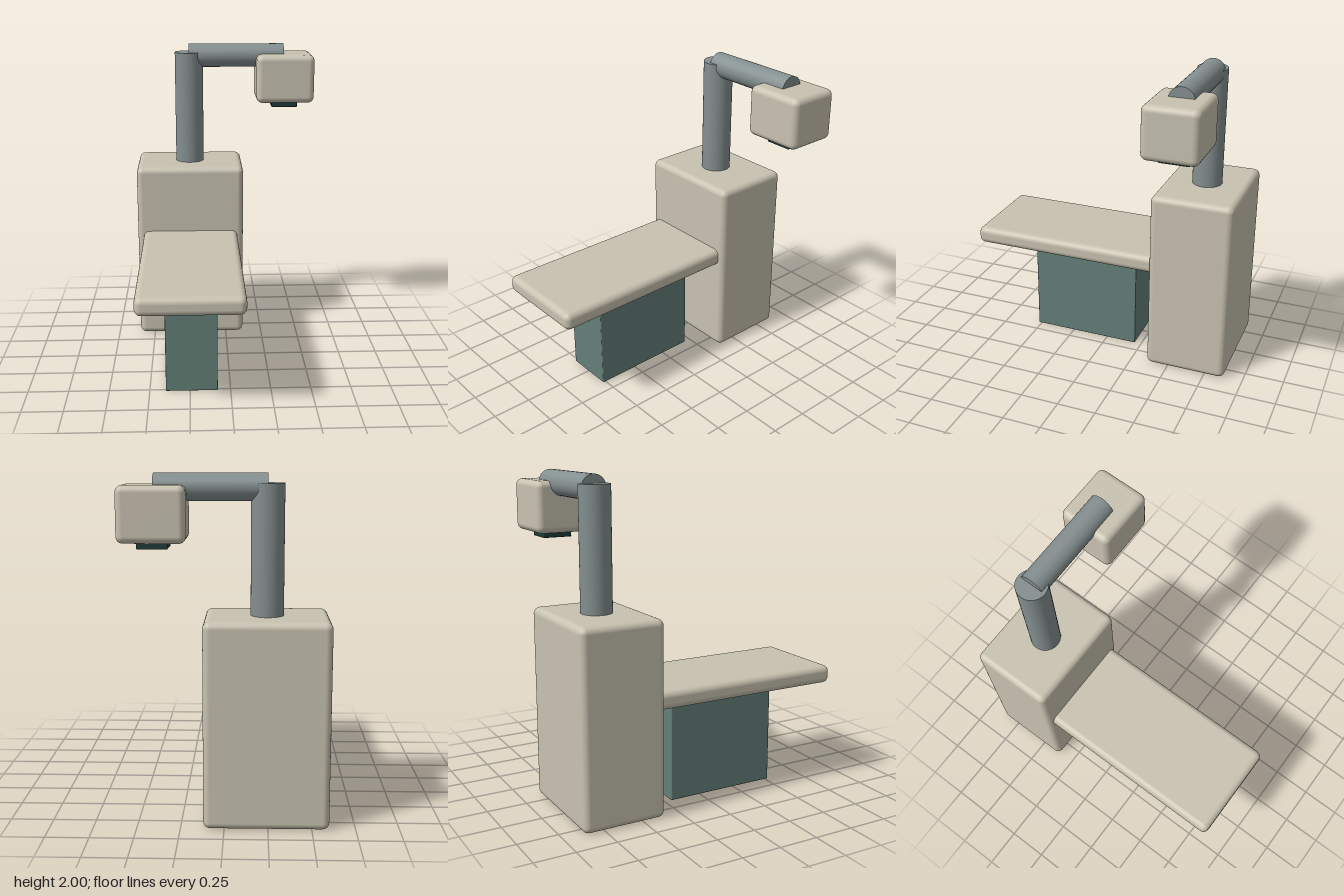
import * as THREE from 'three';
import { RoundedBoxGeometry } from 'three/addons/geometries/RoundedBoxGeometry.js';

const material = (color) => new THREE.MeshStandardMaterial({ color });

export function createModel() {
  const model = new THREE.Group();
  model.name = 'scanner';

  const shell = material(0xc8c2b0);
  const teal = material(0x647f78);
  const metal = material(0x848f8f);
  const dark = material(0x203a3a);

  // Rounded box given by its [min, max] extents on each axis
  function box(name, [x0, x1], [y0, y1], [z0, z1], radius, mat) {
    const geometry = new RoundedBoxGeometry(x1 - x0, y1 - y0, z1 - z0, 4, radius);
    const mesh = new THREE.Mesh(geometry, mat);
    mesh.name = name;
    mesh.position.set((x0 + x1) / 2, (y0 + y1) / 2, (z0 + z1) / 2);
    model.add(mesh);
  }

  function tube(name, radius, length, x, y, z) {
    const mesh = new THREE.Mesh(new THREE.CylinderGeometry(radius, radius, length, 40), metal);
    mesh.name = name;
    mesh.position.set(x, y, z);
    model.add(mesh);
    return mesh;
  }

  // Upright cabinet, with the table reaching forward from it on a pedestal
  box('cabinet', [-0.6, 0.12], [0, 1.2], [-0.88, -0.355], 0.04, shell);
  box('table', [-0.56, 0.08], [0.643, 0.757], [-0.44, 0.88], 0.04, shell);
  box('pedestal', [-0.4, -0.08], [0, 0.635], [-0.205, 0.52], 0.006, teal);

  // Column and sideways arm
  tube('column', 0.095, 0.79, -0.24, 1.55, -0.617);
  tube('arm', 0.078, 0.64, 0.08, 1.922, -0.62).rotation.z = Math.PI / 2;

  // Head hanging on the arm, with its window underneath
  box('head', [0.213, 0.6], [1.617, 1.937], [-0.785, -0.447], 0.04, shell);
  box('headWindow', [0.318, 0.493], [1.58, 1.64], [-0.708, -0.522], 0.006, dark);

  return model;
}
